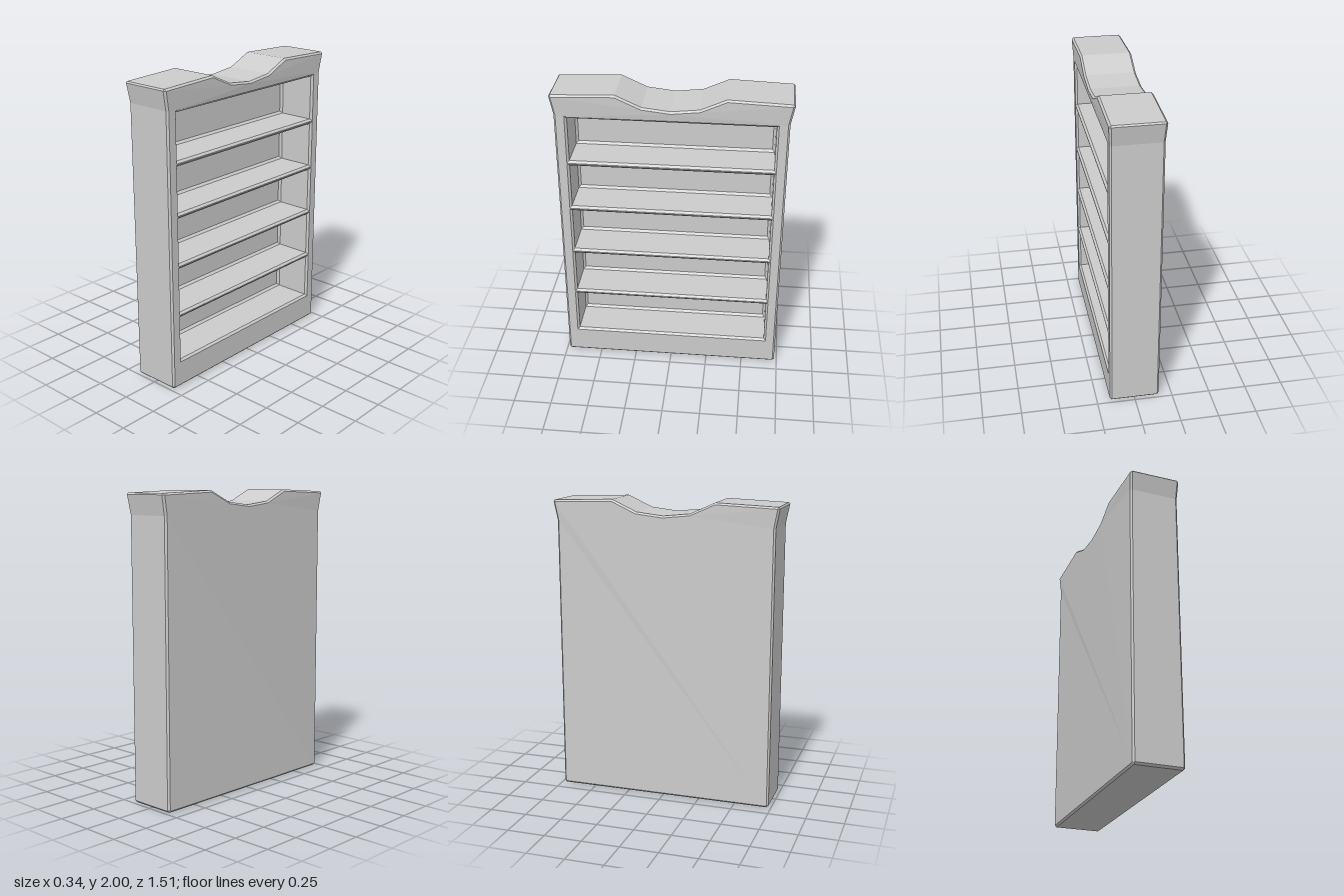
import * as THREE from 'three';

const HALF = 0.164, BEVEL = 0.012;
const v2 = (x, y) => new THREE.Vector2(x, y);

// Moves every edge of a counter-clockwise loop inwards by d, with mitred corners
function inset(loop, d) {
  const n = loop.length;
  const normal = (a, b) => v2(a.y - b.y, b.x - a.x).normalize();
  return loop.map((p, i) => {
    const n1 = normal(loop[(i + n - 1) % n], p);
    const n2 = normal(p, loop[(i + 1) % n]);
    const m = n1.clone().add(n2);
    return p.clone().addScaledVector(m, d / (1 + n1.dot(n2)));
  });
}

// Joins successive [loop, depth] rings with quads
function loft(rings) {
  const pos = [];
  for (let r = 0; r + 1 < rings.length; r++) {
    const [a, da] = rings[r], [b, db] = rings[r + 1];
    for (let i = 0; i < a.length; i++) {
      const j = (i + 1) % a.length;
      const A = [a[i].x, a[i].y, da], B = [a[j].x, a[j].y, da];
      const C = [b[j].x, b[j].y, db], D = [b[i].x, b[i].y, db];
      pos.push(...A, ...B, ...C, ...A, ...C, ...D);
    }
  }
  const g = new THREE.BufferGeometry();
  g.setAttribute('position', new THREE.Float32BufferAttribute(pos, 3));
  return g;
}

// Flat face bounded by a loop, with optional holes
function cap(loop, depth, holes = []) {
  const shape = new THREE.Shape(loop);
  shape.holes = holes.map(h => new THREE.Path(h));
  return new THREE.ShapeGeometry(shape).translate(0, 0, depth);
}

export function createModel() {
  const model = new THREE.Group();
  model.name = 'bookcase';
  const material = new THREE.MeshStandardMaterial({ color: 0xcccccc, flatShading: true });

  function add(name, geometry, parent = model) {
    // The crown is slightly deeper than the body
    const p = geometry.attributes.position;
    for (let i = 0; i < p.count; i++) {
      if (p.getY(i) > 1.87) p.setZ(i, p.getZ(i) * 0.17 / HALF);
    }
    // The open side faces +x
    geometry.rotateY(Math.PI / 2);
    geometry.computeVertexNormals();
    const mesh = new THREE.Mesh(geometry, material);
    mesh.name = name;
    parent.add(mesh);
  }

  // Outline with flared crown and a dip in the middle, mirrored
  const half = [
    [0.72, 0], [0.733, 0.013], [0.733, 1.85], [0.757, 1.975],
    [0.749, 1.985], [0.345, 2], [0.18, 1.925],
  ];
  const outline = [
    ...half.map(([x, y]) => v2(x, y)),
    v2(0, 1.905),
    ...half.slice().reverse().map(([x, y]) => v2(-x, y)),
  ];
  const small = inset(outline, BEVEL);

  // Five equal compartments
  const openings = [];
  for (let i = 0; i < 5; i++) {
    const y0 = 0.175 + i * 0.335, y1 = y0 + 0.328, w = 0.666;
    openings.push([v2(-w, y0), v2(w, y0), v2(w, y1), v2(-w, y1)]);
  }

  add('outerCase', loft([
    [small, -HALF], [outline, -HALF + BEVEL], [outline, HALF - BEVEL], [small, HALF],
  ]));
  add('frontFrame', cap(small, HALF, openings));
  // Back panel, turned to face away from the shelves
  const back = cap(small, 0).rotateY(Math.PI).translate(0, 0, -HALF);
  add('backPanel', back);

  // Compartment linings: chamfered mouth, walls, chamfered back corners, back face
  const shelves = new THREE.Group();
  shelves.name = 'compartments';
  model.add(shelves);
  openings.forEach((mouth, i) => {
    const wall = inset(mouth, 0.014), rear = inset(wall, 0.015);
    const depth = -0.105;
    add(`shelfLining${i + 1}`, loft([
      [mouth, HALF], [wall, HALF - 0.014], [wall, depth + 0.015], [rear, depth],
    ]), shelves);
    add(`compartmentBack${i + 1}`, cap(rear, depth), shelves);
  });

  return model;
}
